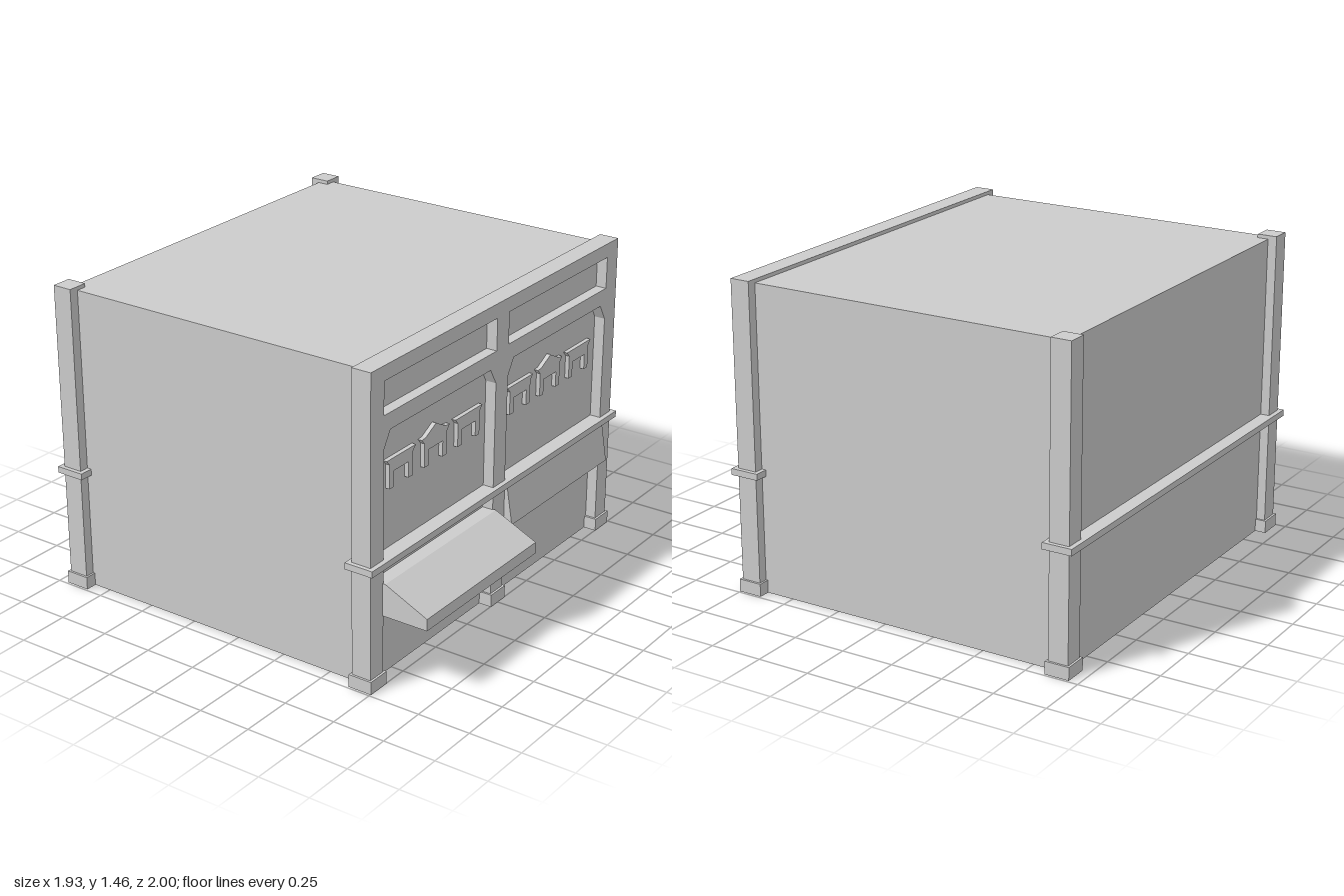
import * as THREE from 'three';

const material = new THREE.MeshStandardMaterial({ color: 0xcccccc, flatShading: true });
const shellMaterial = new THREE.MeshStandardMaterial({ color: 0xcccccc, flatShading: true, side: THREE.DoubleSide });

const shapeOf = pts => new THREE.Shape(pts.map(([x, y]) => new THREE.Vector2(x, y)));

const WALL_X = 0.69;              // recessed plane of the stall side
const LEFT_X = -0.895, RIGHT_X = 0.695, POST_Z = 0.933;

export function createModel() {
  const model = new THREE.Group();
  model.name = 'marketBuilding';

  function add(name, geometry, x = 0, y = 0, z = 0, mat = material) {
    const mesh = new THREE.Mesh(geometry, mat);
    mesh.name = name;
    mesh.position.set(x, y, z);
    model.add(mesh);
    return mesh;
  }
  // Box given by its centre in x and z and its bottom in y
  const block = (name, w, h, d, x, y, z) =>
    add(name, new THREE.BoxGeometry(w, h, d), x, y + h / 2, z);
  // Shape drawn in the (-z, y) plane, pushed out towards +x
  const panel = (shape, depth) =>
    new THREE.ExtrudeGeometry(shape, { depth, bevelEnabled: false }).rotateY(Math.PI / 2);
  // Side profile in the (x, y) plane, running along z
  const run = (name, pts, z0, z1) =>
    add(name, new THREE.ExtrudeGeometry(shapeOf(pts), { depth: z1 - z0, bevelEnabled: false }), 0, 0, z0);

  // Walls and roof, open underneath
  const shell = new THREE.BoxGeometry(WALL_X + 0.9, 1.44, 1.87);
  const index = Array.from(shell.index.array);
  index.splice(18, 6);
  shell.setIndex(index);
  shell.clearGroups();
  add('wallsAndRoof', shell, (WALL_X - 0.9) / 2, 0.72, 0, shellMaterial);

  // Stall frame: three posts and a lintel, with chamfered bays
  const bay = (a, b) => [
    [a, 0], [a, 1.09], [a + 0.045, 1.165], [b - 0.045, 1.165], [b, 1.09], [b, 0],
  ];
  const frame = shapeOf([
    [-0.98, 0], ...bay(-0.887, -0.048), ...bay(0.048, 0.887),
    [0.98, 0], [0.98, 1.457], [-0.98, 1.457],
  ]);
  // Sign windows above the bays
  for (const [a, b] of [[-0.887, -0.048], [0.048, 0.887]]) {
    frame.holes.push(new THREE.Path(
      [[a, 1.24], [a, 1.39], [b, 1.39], [b, 1.24]].map(([x, y]) => new THREE.Vector2(x, y))));
  }
  add('stallFrame', panel(frame, 0.095), 0.647);

  // Corner posts on the plain side
  for (const s of [-1, 1]) {
    block('cornerPost', 0.095, 1.457, 0.095, LEFT_X, 0, s * POST_Z);
    block('postBase', 0.115, 0.06, 0.115, LEFT_X, 0, s * POST_Z);
  }
  // Bases of the stall posts
  for (const z of [-POST_Z, 0, POST_Z]) {
    block('stallPostBase', 0.115, 0.06, 0.115, RIGHT_X, 0, z);
  }
  // Waist rails along both long sides
  for (const x of [LEFT_X, RIGHT_X]) block('waistRail', 0.14, 0.03, 2, x, 0.56, 0);

  // Open counter and folded shutter
  run('counter', [
    [WALL_X, 0.33], [0.965, 0.33], [0.965, 0.385], [0.755, 0.482], [WALL_X, 0.482],
  ], 0.042, 0.892);
  run('foldedShutter', [
    [WALL_X, 0.38], [0.785, 0.38], [0.755, 0.562], [WALL_X, 0.562],
  ], -0.887, -0.048);

  // Raised gate ornaments, three in each bay; the middle one is gabled
  const gate = gabled => shapeOf([
    [-0.085, 0.87], [-0.053, 0.87], [-0.053, 0.943], [0.053, 0.943], [0.053, 0.87], [0.085, 0.87],
    [0.085, 0.98], [0.105, 1.003],
    ...(gabled ? [[0.075, 1.006], [0, 1.045], [-0.075, 1.006]] : []),
    [-0.105, 1.003], [-0.085, 0.98],
  ]);
  for (const side of [-1, 1]) {
    for (const i of [-1, 0, 1]) {
      add('gateOrnament', panel(gate(i === 0), 0.025), WALL_X - 0.005, 0, side * 0.462 + i * 0.254);
    }
  }
  return model;
}
